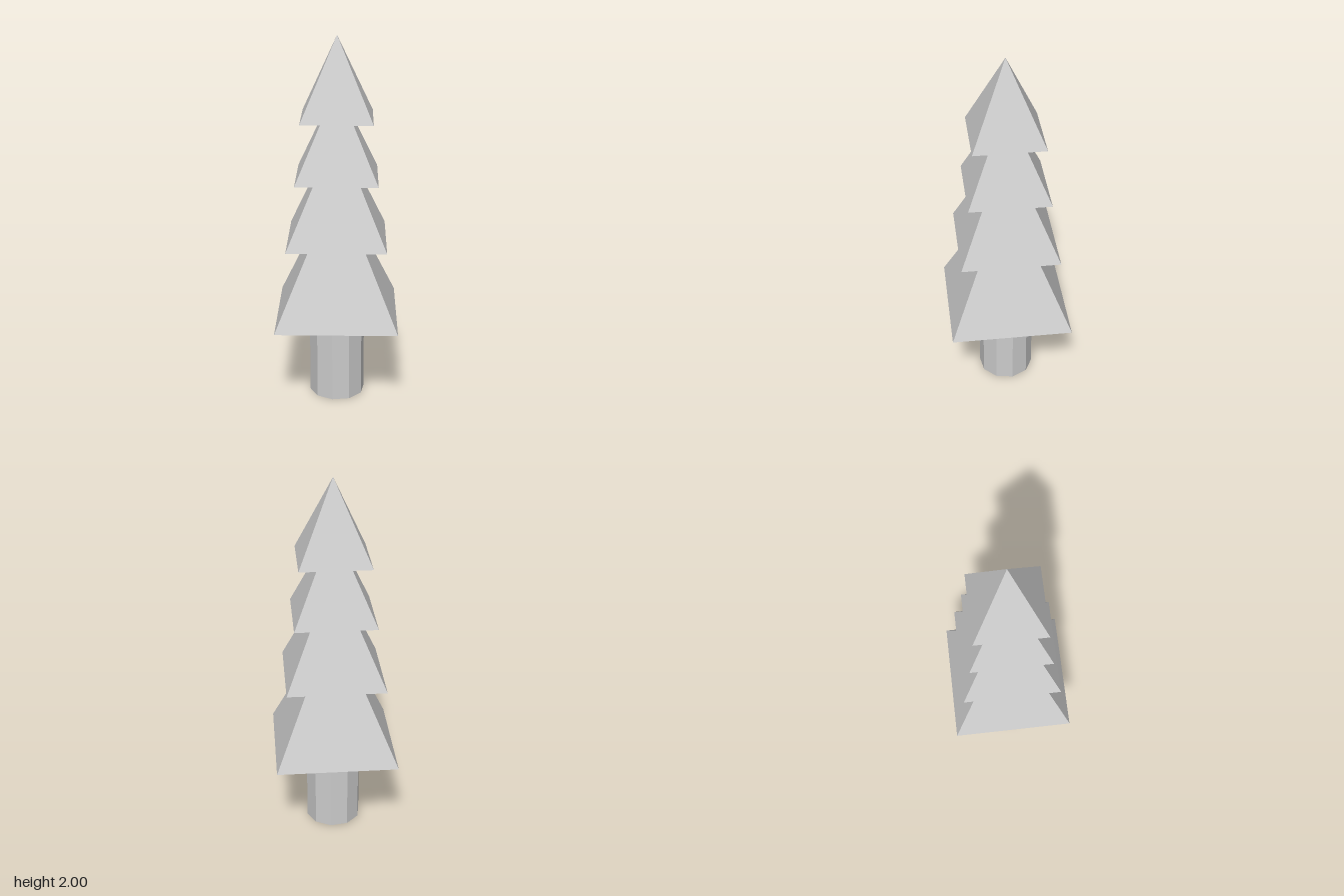
import * as THREE from 'three';

export function createModel() {
  const tree = new THREE.Group();
  tree.name = 'pineTree';
  const material = new THREE.MeshStandardMaterial({ color: 0xcccccc, flatShading: true });

  // Ten-sided trunk with corners on the x axis, ending at the lowest tier
  const trunkHeight = 0.475;
  const trunk = new THREE.Mesh(
    new THREE.CylinderGeometry(0.152, 0.152, trunkHeight, 10, 1, false, Math.PI / 2),
    material
  );
  trunk.name = 'trunk';
  trunk.position.y = trunkHeight / 2;
  tree.add(trunk);

  // Four overlapping pyramids with corners on the x and z axes: [base y, apex y, radius]
  const tiers = [
    [0.475, 1.222, 0.462],
    [0.91, 1.512, 0.374],
    [1.255, 1.745, 0.307],
    [1.573, 2, 0.267],
  ];
  tiers.forEach(([base, apex, radius], i) => {
    const tier = new THREE.Mesh(new THREE.ConeGeometry(radius, apex - base, 4), material);
    tier.name = `foliageTier${i + 1}`;
    tier.position.y = (base + apex) / 2;
    tree.add(tier);
  });

  return tree;
}
